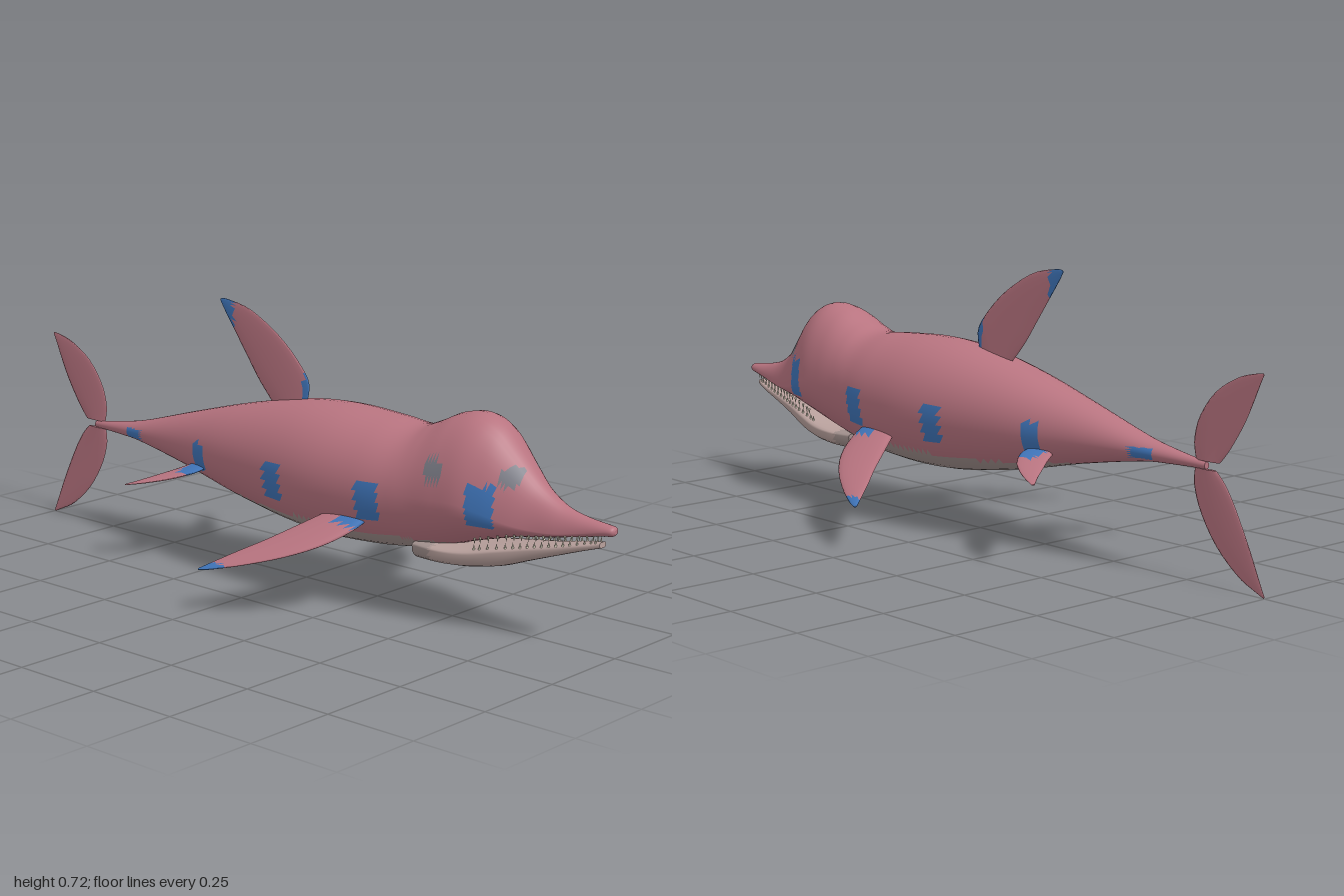
import * as THREE from 'three';

const V = (x, y, z) => new THREE.Vector3(x, y, z);
const PINK = 0xb87480, BLUE = 0x3f74b8, BELLY = 0xa08f8c, PALE = 0xb8a09c, IVORY = 0xe6dfc8, TEAL = 0x7b7c86;

// Smooth interpolation through the rows of a small table, t in 0..1
function rowAt(rows, t) {
  const f = Math.min(t, 0.99999) * (rows.length - 1), i = Math.floor(f), u = f - i;
  const r = k => rows[Math.max(0, Math.min(rows.length - 1, k))];
  return rows[i].map((b, c) => {
    const a = r(i - 1)[c], d = r(i + 1)[c], e = r(i + 2)[c];
    return b + 0.5 * u * (d - a + u * (2 * a - 5 * b + 4 * d - e + u * (3 * (b - d) + e - a)));
  });
}

// Closed skin over a list of rings, with flat end caps, always facing outward
function loft(rings) {
  const n = rings[0].length, pos = [], idx = [];
  rings.forEach(r => r.forEach(p => pos.push(p.x, p.y, p.z)));
  for (let i = 0; i < rings.length - 1; i++) {
    for (let j = 0; j < n; j++) {
      const a = i * n + j, b = i * n + (j + 1) % n;
      idx.push(a, b, b + n, a, b + n, a + n);
    }
  }
  [rings[0], rings[rings.length - 1]].forEach((r, end) => {
    const base = pos.length / 3;
    const mid = r.reduce((s, p) => s.add(p), V(0, 0, 0)).divideScalar(n);
    [...r, mid].forEach(p => pos.push(p.x, p.y, p.z));
    for (let j = 0; j < n; j++) {
      const a = base + j, b = base + (j + 1) % n;
      idx.push(base + n, end ? a : b, end ? b : a);
    }
  });
  // Flip the faces if the enclosed volume comes out negative
  const at = k => V(pos[3 * k], pos[3 * k + 1], pos[3 * k + 2]);
  let volume = 0;
  for (let i = 0; i < idx.length; i += 3) volume += at(idx[i]).dot(at(idx[i + 1]).cross(at(idx[i + 2])));
  if (volume < 0) idx.reverse();
  const g = new THREE.BufferGeometry();
  g.setAttribute('position', new THREE.Float32BufferAttribute(pos, 3));
  g.setIndex(idx);
  g.computeVertexNormals();
  return g;
}

// Divides a geometry into one mesh per colour, chosen by face centre
function paint(name, geo, colourOf) {
  const group = new THREE.Group(), byColour = new Map(), p = geo.attributes.position, idx = geo.index.array;
  group.name = name;
  for (let i = 0; i < idx.length; i += 3) {
    const f = [idx[i], idx[i + 1], idx[i + 2]], c = V(0, 0, 0);
    f.forEach(k => c.add(V(p.getX(k), p.getY(k), p.getZ(k))));
    const colour = colourOf(c.divideScalar(3));
    if (!byColour.has(colour)) byColour.set(colour, []);
    byColour.get(colour).push(...f);
  }
  for (const [colour, faces] of byColour) {
    const g = geo.clone();
    g.setIndex(faces);
    const mesh = new THREE.Mesh(g, new THREE.MeshStandardMaterial({ color: colour }));
    mesh.name = name + 'Skin';
    group.add(mesh);
  }
  return group;
}

// Rows: x, top, bottom, height of widest point, half width
function sections(rows, count, sides, power) {
  const bend = v => Math.sign(v) * Math.abs(v) ** power;
  return Array.from({ length: count + 1 }, (_, i) => {
    const [x, top, bottom, mid, w] = rowAt(rows, i / count);
    return Array.from({ length: sides }, (_, j) => {
      const a = j / sides * Math.PI * 2, s = bend(Math.sin(a));
      return V(x, mid + s * (s > 0 ? top - mid : mid - bottom), w * bend(Math.cos(a)));
    });
  });
}

// Lens-shaped fin between a leading and a trailing edge, running root to tip
function fin(lead, trail, normal, thickness) {
  const rings = [];
  for (let i = 0; i <= 20; i++) {
    const t = i / 20, a = V(...rowAt(lead, t)), b = V(...rowAt(trail, t));
    const mid = a.clone().add(b).multiplyScalar(0.5), half = a.sub(mid);
    const h = thickness * (1 - 0.85 * t);
    rings.push(Array.from({ length: 16 }, (_, j) => {
      const q = j / 16 * Math.PI * 2;
      return mid.clone().addScaledVector(half, Math.cos(q)).addScaledVector(normal, h * Math.sin(q));
    }));
  }
  return loft(rings);
}

const BODY = [
  [-0.81, 0.302, 0.284, 0.293, 0.008], [-0.7, 0.318, 0.28, 0.299, 0.024], [-0.6, 0.338, 0.272, 0.304, 0.042],
  [-0.4, 0.395, 0.236, 0.313, 0.083], [-0.2, 0.448, 0.192, 0.32, 0.128], [0, 0.488, 0.159, 0.323, 0.16],
  [0.15, 0.499, 0.149, 0.325, 0.172], [0.3, 0.492, 0.155, 0.327, 0.164], [0.4, 0.485, 0.167, 0.33, 0.148],
  [0.46, 0.503, 0.18, 0.333, 0.139], [0.53, 0.535, 0.2, 0.335, 0.134], [0.6, 0.545, 0.222, 0.335, 0.127],
  [0.66, 0.52, 0.238, 0.32, 0.108], [0.72, 0.457, 0.254, 0.3, 0.083], [0.78, 0.393, 0.264, 0.289, 0.058],
  [0.84, 0.354, 0.275, 0.289, 0.043], [0.9, 0.337, 0.286, 0.299, 0.031], [0.96, 0.329, 0.298, 0.311, 0.022],
  [0.985, 0.326, 0.302, 0.314, 0.016], [0.992, 0.319, 0.309, 0.314, 0.007],
];
const JAW = [
  [0.44, 0.207, 0.15, 0.195, 0.092], [0.52, 0.207, 0.152, 0.195, 0.1], [0.6, 0.215, 0.159, 0.2, 0.092],
  [0.68, 0.23, 0.174, 0.216, 0.074], [0.76, 0.245, 0.202, 0.232, 0.052], [0.84, 0.26, 0.23, 0.248, 0.036],
  [0.91, 0.274, 0.254, 0.266, 0.026], [0.955, 0.283, 0.268, 0.277, 0.013],
];
// Mouth line: x, upper gum, lower gum, half width
const MOUTH = [
  [0.63, 0.242, 0.218, 0.08], [0.72, 0.262, 0.235, 0.062], [0.8, 0.272, 0.25, 0.043],
  [0.88, 0.286, 0.266, 0.029], [0.95, 0.3, 0.28, 0.013],
];

function bodyColour(c) {
  const patch = [-0.62, -0.3, 0.02, 0.34, 0.66].some(x => Math.abs(c.x - x) < 0.033);
  const lift = c.x > 0.5 ? 0.035 : 0;
  const size = c.x < -0.5 ? 0.014 : c.x < -0.2 ? 0.04 : 0.052;
  if (patch && Math.abs(c.y - 0.3 - lift) < size) return BLUE;
  if (c.z > 0 && Math.hypot(c.x - 0.53, c.y - 0.41) < 0.03) return TEAL;
  if (Math.hypot(c.x - 0.72, c.y - 0.41) < 0.025) return TEAL;
  return c.y < 0.21 + Math.max(0, -c.x - 0.1) * 0.1 ? BELLY : PINK;
}

export function createModel() {
  const model = new THREE.Group();
  model.name = 'marineReptile';
  model.add(paint('body', loft(sections(BODY, 152, 40, 1)), bodyColour));
  model.add(paint('lowerJaw', loft(sections(JAW, 42, 24, 0.75)), c => c.x < 0.5 ? BELLY : PALE));

  // Upright fins
  const up = V(0, 0, 1);
  model.add(paint('dorsalFin', fin(
    [[0, 0.47, 0], [0.01, 0.53, 0], [-0.03, 0.585, 0], [-0.1, 0.645, 0], [-0.2, 0.7, 0], [-0.285, 0.718, 0], [-0.31, 0.717, 0]],
    [[-0.1, 0.44, 0], [-0.135, 0.475, 0], [-0.175, 0.52, 0], [-0.215, 0.575, 0], [-0.255, 0.63, 0], [-0.295, 0.685, 0], [-0.312, 0.712, 0]],
    up, 0.008), c => c.x < -0.262 || c.x > -0.012 ? BLUE : PINK));
  model.add(paint('upperTailFluke', fin(
    [[-0.775, 0.304, 0], [-0.768, 0.35, 0], [-0.785, 0.41, 0], [-0.835, 0.475, 0], [-0.905, 0.518, 0], [-0.96, 0.534, 0], [-0.984, 0.537, 0]],
    [[-0.852, 0.304, 0], [-0.875, 0.33, 0], [-0.9, 0.365, 0], [-0.928, 0.41, 0], [-0.953, 0.46, 0], [-0.975, 0.51, 0], [-0.986, 0.533, 0]],
    up, 0.006), () => PINK));
  model.add(paint('lowerTailFluke', fin(
    [[-0.772, 0.284, 0], [-0.77, 0.24, 0], [-0.793, 0.175, 0], [-0.845, 0.1, 0], [-0.915, 0.04, 0], [-0.97, 0.013, 0], [-0.998, 0.001, 0]],
    [[-0.842, 0.284, 0], [-0.867, 0.26, 0], [-0.895, 0.22, 0], [-0.925, 0.165, 0], [-0.955, 0.105, 0], [-0.982, 0.045, 0], [-1, 0.006, 0]],
    up, 0.006), () => PINK));

  // Paired flippers and teeth
  const toothGeo = new THREE.ConeGeometry(0.0035, 0.016, 6);
  const toothMat = new THREE.MeshStandardMaterial({ color: IVORY });
  for (const s of [1, -1]) {
    const side = s > 0 ? 'left' : 'right';
    const pec = (x, z) => [x, 0.242 - (z - 0.14) * 0.45, s * z];
    model.add(paint(side + 'Flipper', fin(
      [pec(0.325, 0.11), pec(0.32, 0.17), pec(0.28, 0.245), pec(0.21, 0.312), pec(0.12, 0.37), pec(0.045, 0.408), pec(0.012, 0.419)],
      [pec(0.21, 0.11), pec(0.175, 0.165), pec(0.14, 0.22), pec(0.105, 0.275), pec(0.065, 0.33), pec(0.028, 0.385), pec(0.01, 0.413)],
      V(0, 0.91, s * 0.41), 0.013),
      c => Math.abs(c.z) > 0.39 || (Math.abs(c.z) < 0.175 && c.x > 0.25) ? BLUE : PINK));
    const pelvic = (x, z) => [x, 0.262 - (z - 0.1) * 0.2 + (x + 0.33) * 0.12, s * z];
    model.add(paint(side + 'HindFlipper', fin(
      [pelvic(-0.285, 0.08), pelvic(-0.29, 0.125), pelvic(-0.33, 0.175), pelvic(-0.39, 0.212), pelvic(-0.448, 0.235)],
      [pelvic(-0.36, 0.08), pelvic(-0.378, 0.115), pelvic(-0.4, 0.15), pelvic(-0.425, 0.19), pelvic(-0.453, 0.229)],
      V(0, 0.98, s * 0.2), 0.008), c => Math.abs(c.z) < 0.145 && c.x > -0.345 ? BLUE : PINK));

    for (let i = 0; i < 18; i++) {
      const [x, yUpper, yLower, z] = rowAt(MOUTH, i / 17);
      const upper = new THREE.Mesh(toothGeo, toothMat), lower = new THREE.Mesh(toothGeo, toothMat);
      upper.name = 'upperTooth';
      lower.name = 'lowerTooth';
      upper.rotation.x = Math.PI;
      upper.position.set(x, yUpper - 0.003, s * z);
      lower.position.set(x - 0.008, yLower + 0.003, s * z * 0.9);
      model.add(upper, lower);
    }
  }
  return model;
}
